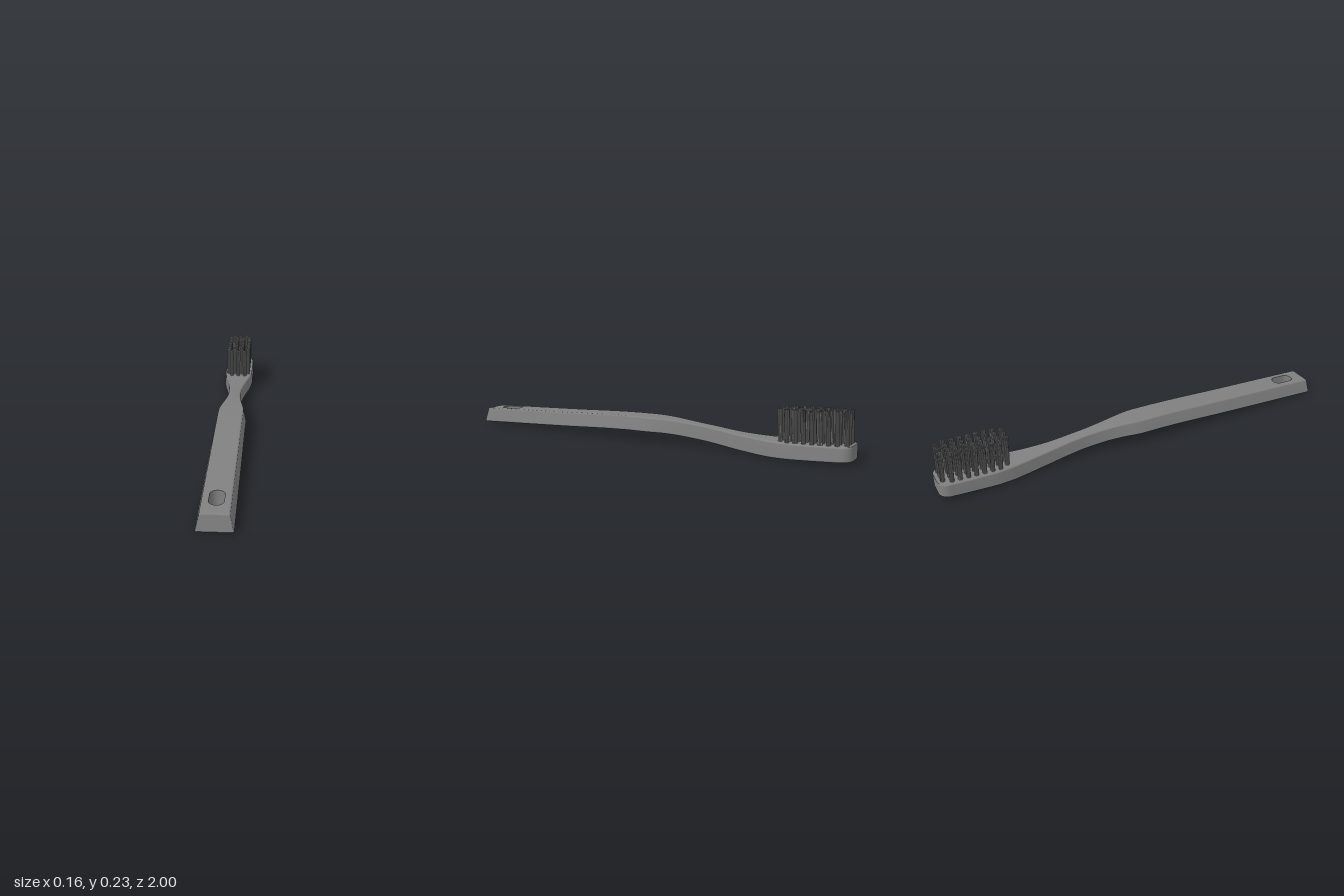
import * as THREE from 'three';
import { mergeGeometries, mergeVertices } from 'three/addons/utils/BufferGeometryUtils.js';

const material = new THREE.MeshStandardMaterial({ color: 0x808080 });

// Smooth curve without overshoot through [z, value] keys, z falling.
function curve(keys) {
  const slope = i => (keys[i + 1][1] - keys[i][1]) / (keys[i + 1][0] - keys[i][0]);
  const tangent = i => {
    if (i === 0) return slope(0);
    if (i === keys.length - 1) return slope(i - 1);
    const a = slope(i - 1), b = slope(i);
    return a * b <= 0 ? 0 : 2 * a * b / (a + b);
  };
  return z => {
    let i = 0;
    while (i < keys.length - 2 && z < keys[i + 1][0]) i++;
    const [z0, v0] = keys[i], [z1, v1] = keys[i + 1];
    const d = z1 - z0, t = THREE.MathUtils.clamp((z - z0) / d, 0, 1), t2 = t * t, t3 = t2 * t;
    return v0 * (2 * t3 - 3 * t2 + 1) + v1 * (3 * t2 - 2 * t3)
      + d * (tangent(i) * (t3 - 2 * t2 + t) + tangent(i + 1) * (t3 - t2));
  };
}

// Side profile, plan outline and side taper
const topY = curve([[1, 0.073], [0.5, 0.096], [0.06, 0.116], [-0.06, 0.117], [-0.3, 0.101],
  [-0.5, 0.08], [-0.65, 0.073], [-0.8, 0.077], [-1, 0.086]]);
const bottomY = curve([[1, 0], [0.5, 0.025], [0.06, 0.047], [-0.06, 0.048], [-0.3, 0.03],
  [-0.5, 0.007], [-0.63, 0], [-0.8, 0.007], [-1, 0.02]]);
const halfWidth = curve([[1, 0.074], [0, 0.073], [-0.03, 0.071], [-0.1, 0.058], [-0.2, 0.042],
  [-0.3, 0.035], [-0.4, 0.037], [-0.5, 0.045], [-0.6, 0.058], [-0.68, 0.071], [-0.76, 0.078], [-1, 0.078]]);
const taper = curve([[1, 0.8], [0, 0.84], [-0.3, 0.9], [-0.7, 0.96], [-1, 0.97]]);

const HOLE = { from: 0.81, to: 0.925, r: 0.03 };
const HEAD_R = 0.045;

function holeHalfWidth(z) {
  const c = THREE.MathUtils.clamp(z, HOLE.from + HOLE.r, HOLE.to - HOLE.r);
  const s = HOLE.r ** 2 - (z - c) ** 2;
  return s > 1e-9 ? Math.sqrt(s) : 0;
}

// Right half of the cross-section at z, from the middle of the top round to the middle of the bottom
function halfSection(z, inset) {
  let w = halfWidth(z) - inset;
  const past = -1 + HEAD_R - z;
  if (past > 0) w -= HEAD_R - Math.sqrt(Math.max(0, HEAD_R ** 2 - past ** 2));
  const top = topY(z) - inset, bot = bottomY(z) + inset, wt = w * taper(z);
  const h = holeHalfWidth(z), r = 0.008;
  const pts = [[h, top]];
  for (const [cx, cy, start] of [[wt - r, top - r, Math.PI / 2], [w - r, bot + r, 0]])
    for (let k = 0; k <= 4; k++) {
      const a = start - k * Math.PI / 8;
      pts.push([cx + r * Math.cos(a), cy + r * Math.sin(a)]);
    }
  pts.push([h, bot]);
  // The front end leans back slightly
  const lean = 0.01 * THREE.MathUtils.smoothstep(z, 0.94, 1);
  return pts.map(([x, y]) => [x, y, z - lean * (y - bot) / (top - bot)]);
}

// One smooth surface; every triangle comes with its mirror image
class Surface {
  pos = [];
  tri(a, b, c) {
    this.pos.push(...a, ...b, ...c);
    for (const p of [a, c, b]) this.pos.push(-p[0], p[1], p[2]);
  }
  quad(a, b, c, d) {
    this.tri(a, b, c);
    this.tri(b, d, c);
  }
  build() {
    const g = new THREE.BufferGeometry();
    g.setAttribute('position', new THREE.Float32BufferAttribute(this.pos, 3));
    const merged = mergeVertices(g, 1e-5);
    merged.computeVertexNormals();
    return merged;
  }
}

function bodyGeometry() {
  const stations = [[1, 0.004], [0.9985, 0.0012], [0.995, 0], [0.96, 0]];
  const N = 10;
  for (let k = 0; k <= N; k++)
    stations.push([HOLE.to - HOLE.r + HOLE.r * Math.cos(k / N * Math.PI / 2), 0]);
  for (let k = 0; k <= N; k++)
    stations.push([HOLE.from + HOLE.r - HOLE.r * Math.sin(k / N * Math.PI / 2), 0]);
  for (let z = 0.7; z > 0.1; z -= 0.1) stations.push([z, 0]);
  for (let z = 0.08; z > -0.945; z -= 0.02) stations.push([z, 0]);
  for (let k = 0; k <= N; k++) {
    const a = k / N * Math.PI / 2;
    stations.push([-1 + HEAD_R - HEAD_R * Math.sin(a), k < N ? 0 : 0.003]);
  }
  const rings = stations.map(([z, inset]) => halfSection(z, inset));
  const skin = new Surface(), holeWall = new Surface(), ends = new Surface();
  const n = rings[0].length;
  for (let i = 0; i < rings.length - 1; i++) {
    const A = rings[i], B = rings[i + 1];
    for (let k = 0; k < n - 1; k++) skin.quad(A[k], A[k + 1], B[k], B[k + 1]);
    if (A[0][0] > 0 || B[0][0] > 0) holeWall.quad(A[n - 1], A[0], B[n - 1], B[0]);
  }
  const first = rings[0], last = rings[rings.length - 1];
  for (let k = 1; k < n - 1; k++) {
    ends.tri(first[0], first[k + 1], first[k]);
    ends.tri(last[0], last[k], last[k + 1]);
  }
  return mergeGeometries([skin, holeWall, ends].map(s => s.build()));
}

// One tuft: a bundle of thin bristles that fans out a little
function tuftGeometry() {
  const length = 0.153, parts = [];
  for (let k = 0; k < 7; k++) {
    const a = k / 6 * Math.PI * 2, low = k < 6 ? 0.0065 : 0, high = k < 6 ? 0.0088 : 0;
    const g = new THREE.CylinderGeometry(0.0036, 0.0036, length, 6);
    g.translate(0, length / 2, 0);
    const p = g.attributes.position;
    for (let i = 0; i < p.count; i++) {
      const d = THREE.MathUtils.lerp(low, high, p.getY(i) / length);
      p.setX(i, p.getX(i) + d * Math.cos(a));
      p.setZ(i, p.getZ(i) + d * Math.sin(a));
    }
    parts.push(g);
  }
  return mergeGeometries(parts);
}

export function createModel() {
  const model = new THREE.Group();
  model.name = 'toothbrush';

  const body = new THREE.Mesh(bodyGeometry(), material);
  body.name = 'handleAndHead';
  model.add(body);

  // Nine rows of tufts, the end rows one tuft shorter, each turned differently
  const bristles = new THREE.Group();
  bristles.name = 'bristles';
  const tuft = tuftGeometry();
  for (let row = 0; row < 9; row++) {
    const z = -0.972 + row * 0.0368;
    const count = row === 0 || row === 8 ? 3 : 4;
    for (let c = 0; c < count; c++) {
      const mesh = new THREE.Mesh(tuft, material);
      mesh.name = 'tuft';
      mesh.position.set((c - (count - 1) / 2) * 0.0355, topY(z) - 0.007, z - 0.003);
      mesh.rotation.set(0.04, row * 0.7 + c * 1.3, 0);
      bristles.add(mesh);
    }
  }
  model.add(bristles);
  return model;
}
